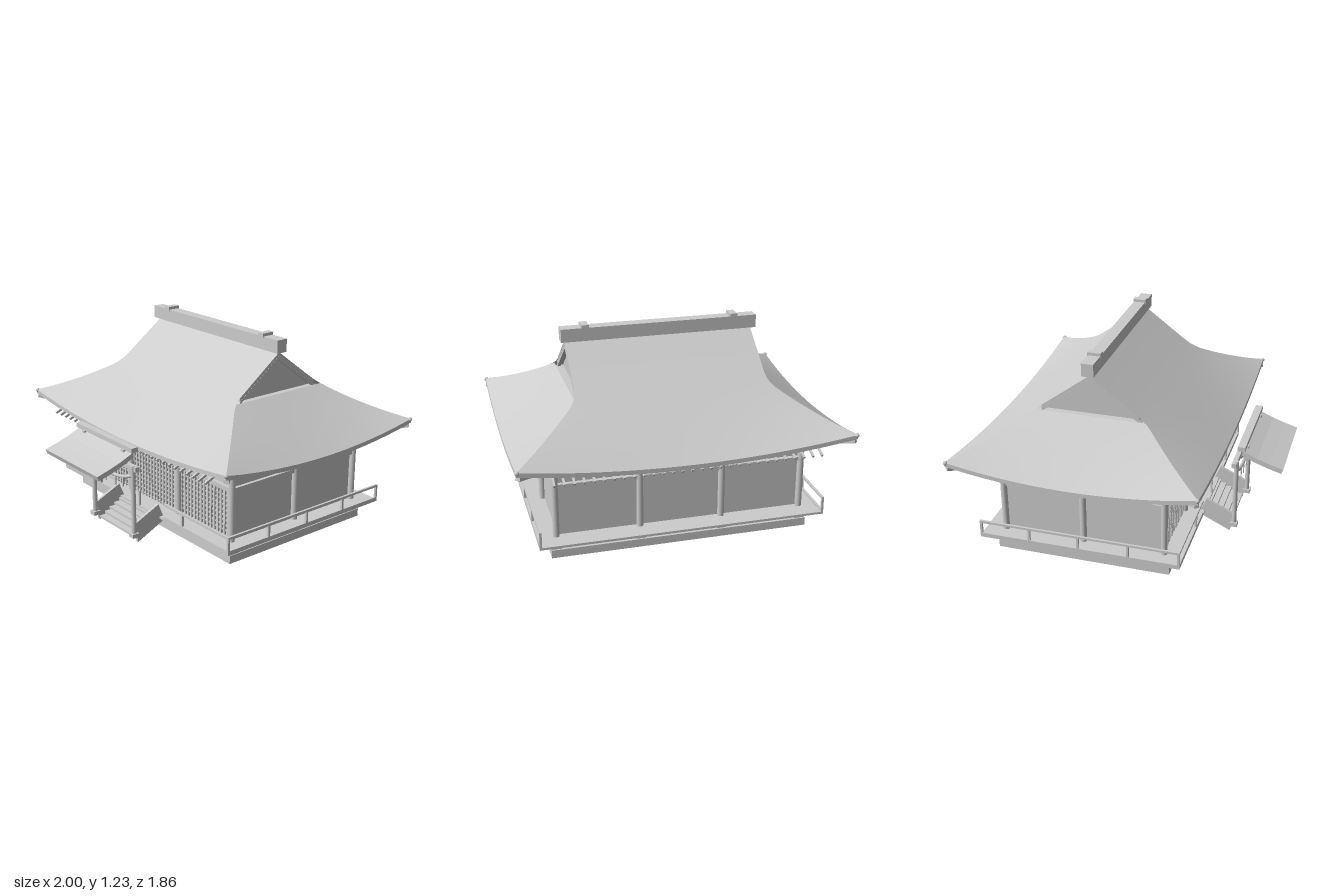
import * as THREE from 'three';

export function createModel() {
  const model = new THREE.Group();
  const grey = new THREE.MeshStandardMaterial({ color: 0xcccccc, side: THREE.DoubleSide });
  grey.name = 'plain grey';

  const group = (name, parent = model) => {
    const g = new THREE.Group();
    g.name = name;
    parent.add(g);
    return g;
  };
  const mesh = (parent, name, geo, x = 0, y = 0, z = 0) => {
    const m = new THREE.Mesh(geo, grey);
    m.name = name;
    m.position.set(x, y, z);
    parent.add(m);
    return m;
  };
  const box = (parent, name, w, h, d, x, y, z) =>
    mesh(parent, name, new THREE.BoxGeometry(w, h, d), x, y, z);
  const cyl = (parent, name, r0, r1, h, x, y, z) =>
    mesh(parent, name, new THREE.CylinderGeometry(r0, r1, h, 16), x, y, z);
  // curved sheet: f(u, v) with u in -1..1 and v in 0..1
  const sheet = (parent, name, nu, nv, f) => {
    const geo = new THREE.PlaneGeometry(2, 1, nu, nv);
    const p = geo.attributes.position;
    for (let i = 0; i < p.count; i++) p.setXYZ(i, ...f(p.getX(i), 0.5 - p.getY(i)));
    geo.computeVertexNormals();
    return mesh(parent, name, geo);
  };

  // the hall and its roof share a centre behind the entrance
  const hall = group('hall');
  hall.position.z = -0.175;
  box(hall, 'stoneBase', 1.57, 0.05, 1.08, 0, 0.025, 0);
  box(hall, 'verandaFloor', 1.73, 0.014, 1.244, 0, 0.115, 0);
  box(hall, 'wallCore', 1.48, 0.45, 0.97, 0, 0.345, 0);

  // pillars around the walls
  const pillar = (x, z) => {
    const g = group('pillar', hall);
    g.position.set(x, 0, z);
    cyl(g, 'pillarShaft', 0.02, 0.02, 0.52, 0, 0.31, 0);
    box(g, 'pillarFoot', 0.06, 0.02, 0.06, 0, 0.06, 0);
    cyl(g, 'pillarCollar', 0.025, 0.029, 0.03, 0, 0.085, 0);
    box(g, 'pillarCap', 0.048, 0.035, 0.048, 0, 0.582, 0);
  };
  for (const z of [-0.5, 0.5]) for (const x of [-0.75, -0.25, 0.25, 0.75]) pillar(x, z);
  for (const x of [-0.75, 0.75]) pillar(x, 0);

  // horizontal tie beams
  for (const y of [0.44, 0.543]) {
    for (const s of [-1, 1]) {
      box(hall, 'longBeam', 1.5, 0.024, 0.026, 0, y, s * 0.497);
      box(hall, 'sideBeam', 0.026, 0.024, 1.0, s * 0.747, y, 0);
    }
  }

  // lattice screens of the front bays
  for (const cx of [-0.5, 0, 0.5]) {
    const g = group('latticeScreen', hall);
    g.position.set(cx, 0, 0.49);
    for (let i = -7; i <= 7; i++) box(g, 'latticeUpright', 0.008, 0.31, 0.012, i * 0.031, 0.275, 0.004);
    for (let j = 0; j < 10; j++) box(g, 'latticeBar', 0.46, 0.008, 0.012, 0, 0.135 + j * 0.0315, 0);
  }

  // veranda railing on the sides and along the front, open at the stairs
  const railing = group('railing', hall);
  for (const s of [-1, 1]) {
    for (const y of [0.128, 0.213]) {
      box(railing, 'sideRail', 0.014, 0.014, 1.244, s * 0.858, y, 0);
      box(railing, 'frontRail', 0.6, 0.014, 0.014, s * 0.565, y, 0.615);
    }
    for (let i = -2; i <= 2; i++) box(railing, 'railPost', 0.014, 0.1, 0.014, s * 0.858, 0.17, i * 0.3075);
    box(railing, 'railPost', 0.014, 0.1, 0.014, s * 0.435, 0.17, 0.615);
  }
  box(railing, 'railPost', 0.012, 0.1, 0.012, 0, 0.17, 0.615);

  // roof: height falls with distance d from the ridge, corners sweep up
  const roof = group('roof', hall);
  const half = 0.75;
  const height = (d) => 1.135 - 0.76 * d + 0.06 * d * d;
  const lift = (u, d) => 0.07 * u * u * Math.max(0, (d - 0.3) / 0.45) ** 2;
  const width = (d) => d > 0.375
    ? 0.62 + (d - 0.375) * 0.987
    : 0.58 + 0.04 * Math.max(0, (d - 0.28) / 0.095) ** 2;
  const slope = (name, angle, d0, across, out) => {
    const g = group(name, roof);
    g.rotation.y = angle;
    const at = (u, d, drop) => [u * across(d), height(d) + lift(u, d) - drop, out(d)];
    const dist = (v) => d0 + (half - d0) * v;
    sheet(g, 'roofTop', 32, 24, (u, v) => at(u, dist(v), 0));
    sheet(g, 'roofUnderside', 32, 24, (u, v) => at(-u, dist(v), 0.026));
    sheet(g, 'eaveEdge', 32, 1, (u, v) => at(u, half, 0.026 * v));
  };
  for (const a of [0, Math.PI]) {
    slope('mainSlope', a, 0, width, (d) => d);
    slope('hipSlope', a + Math.PI / 2, 0.345, (d) => d, (d) => 0.62 + (d - 0.375) * 0.987);
  }

  // gable ends: recessed wall, barge boards and a ledge
  const extrude = (points, depth) => new THREE.ExtrudeGeometry(
    new THREE.Shape(points.map(([x, y]) => new THREE.Vector2(x, y))), { depth, bevelEnabled: false });
  for (const s of [-1, 1]) {
    const g = group('gable', roof);
    g.rotation.y = s * Math.PI / 2;
    mesh(g, 'gableWall', extrude([[-0.34, 0.855], [0.34, 0.855], [0, 1.11]], 0.01), 0, 0, 0.53);
    mesh(g, 'bargeBoard', extrude([
      [0, 1.13], [-0.3, height(0.3) - 0.005], [-0.3, height(0.3) - 0.045], [0, 1.087],
      [0.3, height(0.3) - 0.045], [0.3, height(0.3) - 0.005]], 0.02), 0, 0, 0.559);
    box(g, 'gableLedge', 0.66, 0.012, 0.08, 0, 0.868, 0.552);
  }

  // ridge beam with two saddles
  box(roof, 'ridgeBeam', 1.21, 0.08, 0.074, 0, 1.175, 0);
  for (const x of [-0.46, 0.46]) box(roof, 'ridgeSaddle', 0.045, 0.03, 0.082, x, 1.218, 0);

  // rafters below the long eaves
  for (const s of [-1, 1]) {
    for (let i = -14; i <= 14; i++) {
      const r = box(roof, 'rafter', 0.012, 0.014, 0.27, i * 0.056, 0.606, s * 0.603);
      r.rotation.x = s * 0.42;
    }
    // hip rafters and tips at the corners
    for (const t of [-1, 1]) {
      const g = group('cornerRafter', roof);
      g.position.set(s * 0.925, 0.622, t * 0.685);
      g.lookAt(s * 0.925 + s, 0.622 + 0.15 - 0.0, t * 0.685 - 0.175 + t);
      g.rotation.set(0, Math.atan2(s, t), 0);
      box(g, 'cornerBeam', 0.03, 0.04, 0.16, 0, 0, 0).rotation.x = -0.2;
      mesh(roof, 'cornerTip', new THREE.SphereGeometry(0.014, 12, 8), s * 0.985, 0.664, t * 0.745);
    }
  }

  // entrance stairs with side boards
  const stairs = group('stairs');
  for (let i = 0; i < 5; i++) box(stairs, 'step', 0.4, 0.014, 0.05, 0, 0.02 + i * 0.021, 0.585 - i * 0.037);
  for (const s of [-1, 1]) {
    const board = mesh(stairs, 'stairBoard',
      extrude([[-0.61, 0], [-0.41, 0.095], [-0.455, 0.205], [-0.63, 0.125]], 0.018), s * 0.21 + 0.009, 0, 0);
    board.rotation.y = Math.PI / 2;
    board.position.x -= 0.018;
  }

  // gate posts and beam in front of the stairs
  const gate = group('gate');
  for (const s of [-1, 1]) {
    cyl(gate, 'gatePost', 0.015, 0.015, 0.45, s * 0.212, 0.275, 0.635);
    box(gate, 'gateFoot', 0.046, 0.026, 0.046, s * 0.212, 0.053, 0.635);
    box(gate, 'canopyStrut', 0.028, 0.09, 0.028, s * 0.21, 0.575, 0.692);
  }
  box(gate, 'gateBeam', 0.49, 0.03, 0.028, 0, 0.482, 0.625);

  // sagging rope with paper strips and a bell
  const rope = new THREE.QuadraticBezierCurve3(
    new THREE.Vector3(-0.215, 0.44, 0.642),
    new THREE.Vector3(0, 0.34, 0.642),
    new THREE.Vector3(0.215, 0.44, 0.642));
  mesh(gate, 'rope', new THREE.TubeGeometry(rope, 24, 0.011, 8));
  for (const x of [-0.13, -0.05, 0.05, 0.13]) {
    const y = 0.39 + 0.05 * (x / 0.215) ** 2;
    box(gate, 'paperStrip', 0.014, 0.06, 0.005, x, y - 0.03, 0.652);
  }
  mesh(gate, 'bell', new THREE.SphereGeometry(0.023, 20, 14), 0, 0.427, 0.617);

  // small curved canopy over the stairs
  const canopy = group('canopy');
  mesh(canopy, 'canopyRoof', extrude([
    [-0.93, 0.527], [-0.85, 0.55], [-0.77, 0.577], [-0.685, 0.614],
    [-0.675, 0.588], [-0.76, 0.549], [-0.84, 0.521], [-0.92, 0.498]], 0.57), -0.285).rotation.y = Math.PI / 2;
  box(canopy, 'canopyRidge', 0.59, 0.028, 0.046, 0, 0.632, 0.675);

  return model;
}
